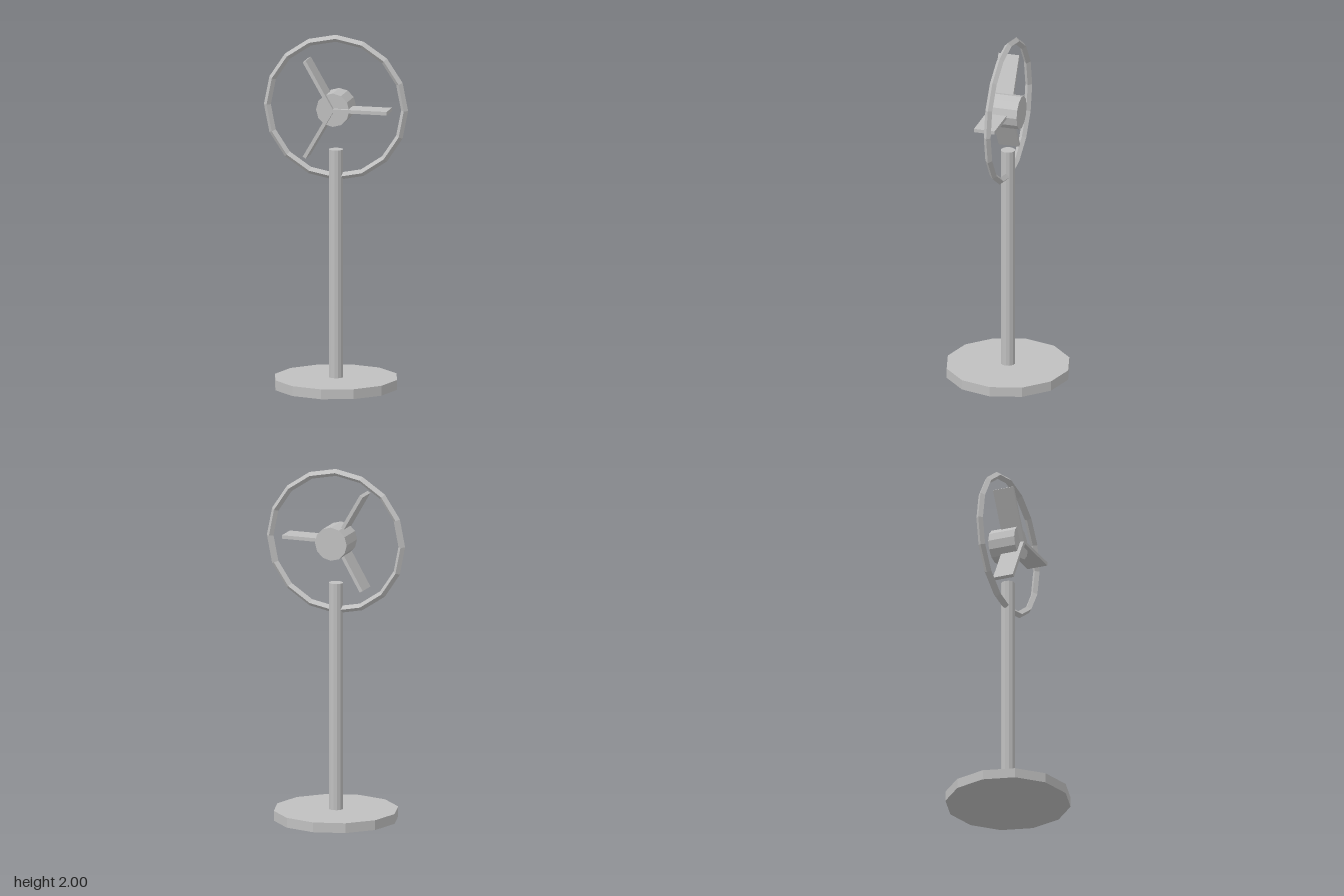
import * as THREE from 'three';

export function createModel() {
  const group = new THREE.Group();
  const grey = new THREE.MeshStandardMaterial({ color: 0xbfbfbf, flatShading: true });
  grey.name = 'grey metal';

  const add = (name, geometry, parent = group) => {
    const mesh = new THREE.Mesh(geometry, grey);
    mesh.name = name;
    parent.add(mesh);
    return mesh;
  };

  // Round foot and upright pole
  add('base', new THREE.CylinderGeometry(0.35, 0.35, 0.056, 12).translate(0, 0.028, 0));
  add('pole', new THREE.CylinderGeometry(0.04, 0.04, 1.35, 12).translate(0, 0.675, 0));

  // Fan head: guard ring, motor hub and three blades around one centre
  const head = new THREE.Group();
  head.name = 'fanHead';
  head.position.y = 1.587;
  group.add(head);

  add('guardRing', new THREE.TorusGeometry(0.393, 0.02, 4, 16), head);
  add('motorHub', new THREE.CylinderGeometry(0.095, 0.095, 0.158, 12).rotateX(Math.PI / 2), head);

  // Each blade runs outward from the axis
  const bladeGeometry = new THREE.BoxGeometry(0.315, 0.02, 0.12).translate(0.1575, 0, 0.041);
  for (let i = 0; i < 3; i++) {
    add(`blade${i + 1}`, bladeGeometry, head).rotation.z = (i * Math.PI * 2) / 3;
  }
  return group;
}
